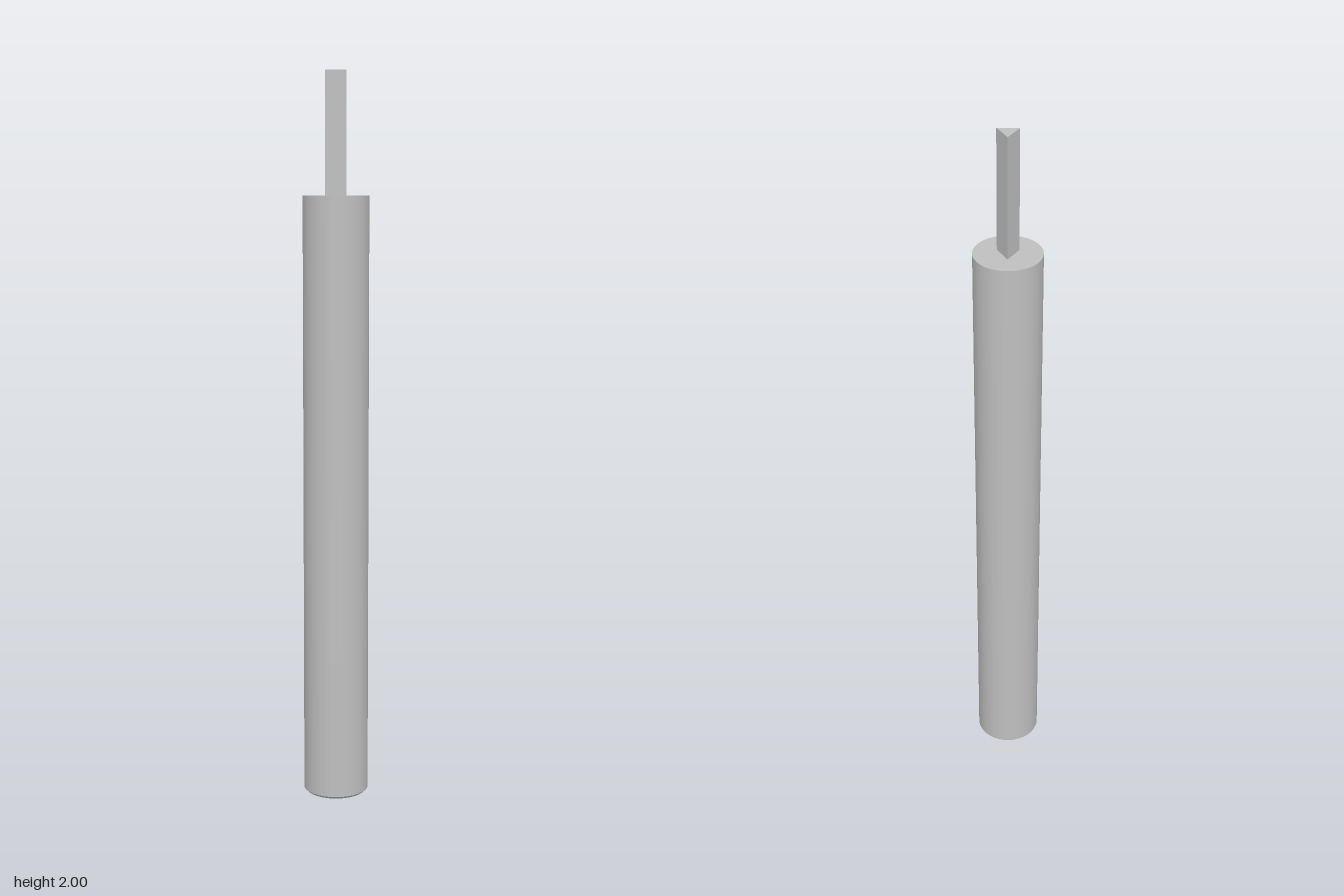
import * as THREE from 'three';
import { toCreasedNormals } from 'three/addons/utils/BufferGeometryUtils.js';

const RADIUS = 0.09, BODY_TOP = 1.67, TOTAL = 2;
const HOLE_RADIUS = 0.033, HOLE_DEPTH = 0.3, CHAMFER = 0.007;

export function createModel() {
  const group = new THREE.Group();
  group.name = 'triangularTool';

  const steel = new THREE.MeshStandardMaterial({ color: 0xbfbfbf });
  steel.name = 'steel grey';

  const add = (name, geometry) => {
    const mesh = new THREE.Mesh(toCreasedNormals(geometry, 0.5), steel);
    mesh.name = name;
    group.add(mesh);
    return mesh;
  };

  // Round handle with a blind hole in its foot and a small bottom chamfer
  const profile = [
    [0, HOLE_DEPTH], [HOLE_RADIUS, HOLE_DEPTH], [HOLE_RADIUS, 0],
    [RADIUS - CHAMFER, 0], [RADIUS, CHAMFER], [RADIUS, BODY_TOP], [0, BODY_TOP],
  ].map(([x, y]) => new THREE.Vector2(x, y));
  add('handle', new THREE.LatheGeometry(profile, 72));

  // Three-sided shaft, flat side to the front
  const shaftHeight = TOTAL - BODY_TOP;
  const shaft = add('triangularShaft',
    new THREE.CylinderGeometry(0.033, 0.033, shaftHeight, 3).rotateY(Math.PI));
  shaft.position.y = BODY_TOP + shaftHeight / 2;

  return group;
}
